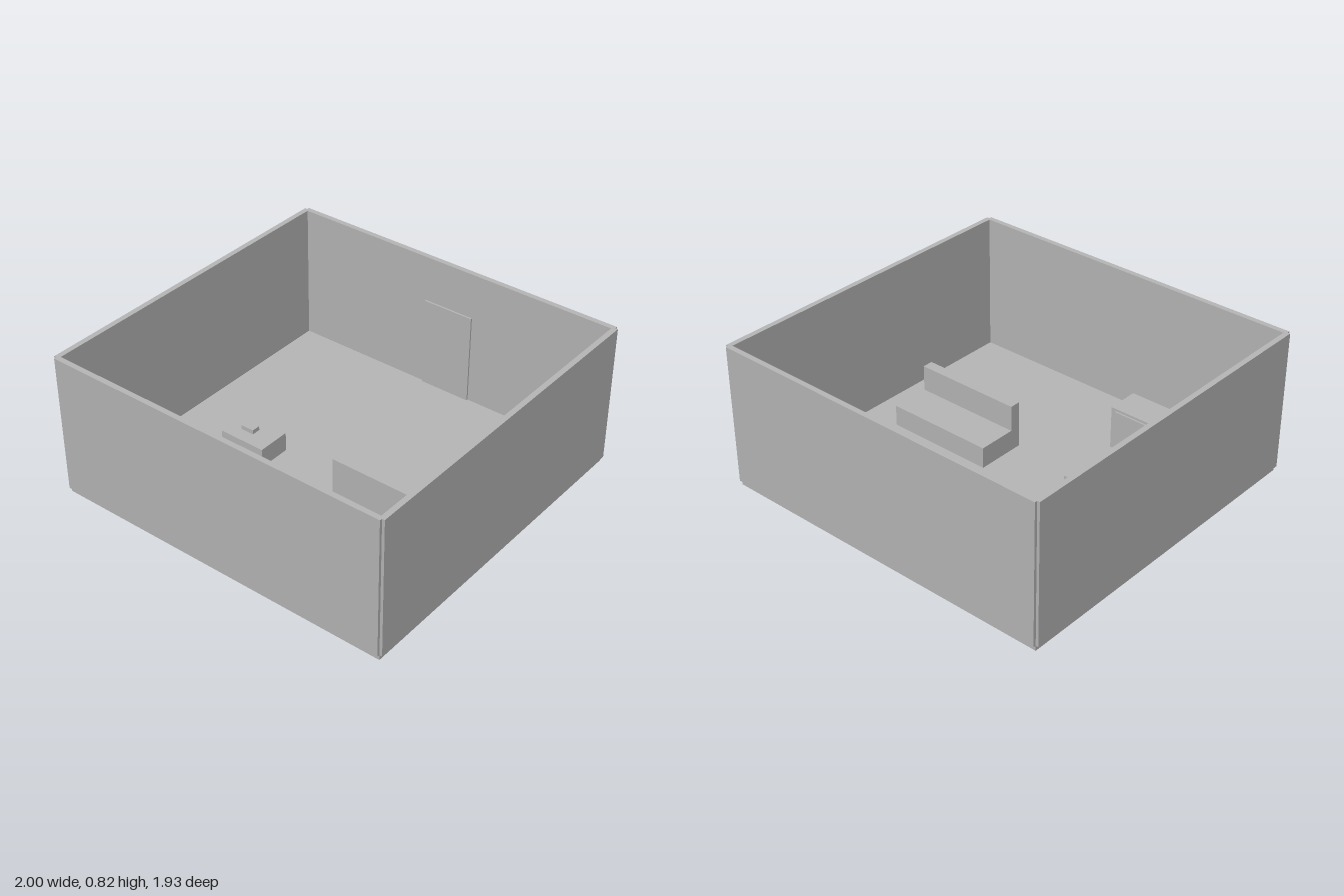
import * as THREE from 'three';

export function createModel() {
  const room = new THREE.Group();
  room.name = 'room';
  const grey = new THREE.MeshStandardMaterial({ color: 0xb3b3b3 });
  grey.name = 'grey';

  // Box given by its extents along each axis
  const box = (name, [x0, x1], [y0, y1], [z0, z1], parent = room) => {
    const mesh = new THREE.Mesh(new THREE.BoxGeometry(x1 - x0, y1 - y0, z1 - z0), grey);
    mesh.position.set((x0 + x1) / 2, (y0 + y1) / 2, (z0 + z1) / 2);
    mesh.name = name;
    parent.add(mesh);
    return mesh;
  };
  const group = (name) => {
    const g = new THREE.Group();
    g.name = name;
    room.add(g);
    return g;
  };

  const floorTop = 0.03, wallTop = 0.817;

  // Floor slab
  box('floor', [-0.985, 0.985], [0, floorTop], [-0.95, 0.95]);

  // Four walls, centred on the floor's edges so the corners are notched
  const wallY = [floorTop, wallTop];
  box('frontWall', [-0.985, 0.985], wallY, [0.935, 0.965]);
  box('backWall', [-0.985, 0.985], wallY, [-0.965, -0.935]);
  box('leftWall', [0.97, 1], wallY, [-0.95, 0.95]);
  box('rightWall', [-1, -0.97], wallY, [-0.95, 0.95]);

  // Door against the back wall
  box('door', [-0.15, 0.15], [floorTop, 0.553], [-0.945, -0.925]);

  // Sofa with its backrest toward the front
  const sofa = group('sofa');
  box('sofaSeat', [0.13, 0.755], [floorTop, 0.15], [-0.06, 0.16], sofa);
  box('sofaBackrest', [0.13, 0.755], [floorTop, 0.297], [0.16, 0.22], sofa);

  // Low table with a small box on it
  const table = group('table');
  box('tableBody', [-0.605, -0.33], [floorTop, 0.14], [0.035, 0.225], table);
  box('tableItem', [-0.535, -0.455], [0.14, 0.165], [0.1, 0.15], table);

  // Cabinet with a thin panel on the side facing the door
  const cabinet = group('cabinet');
  box('cabinetBody', [-0.555, -0.24], [floorTop, 0.276], [0.527, 0.71], cabinet);
  box('cabinetPanel', [-0.522, -0.27], [0.07, 0.262], [0.518, 0.527], cabinet);

  return room;
}
